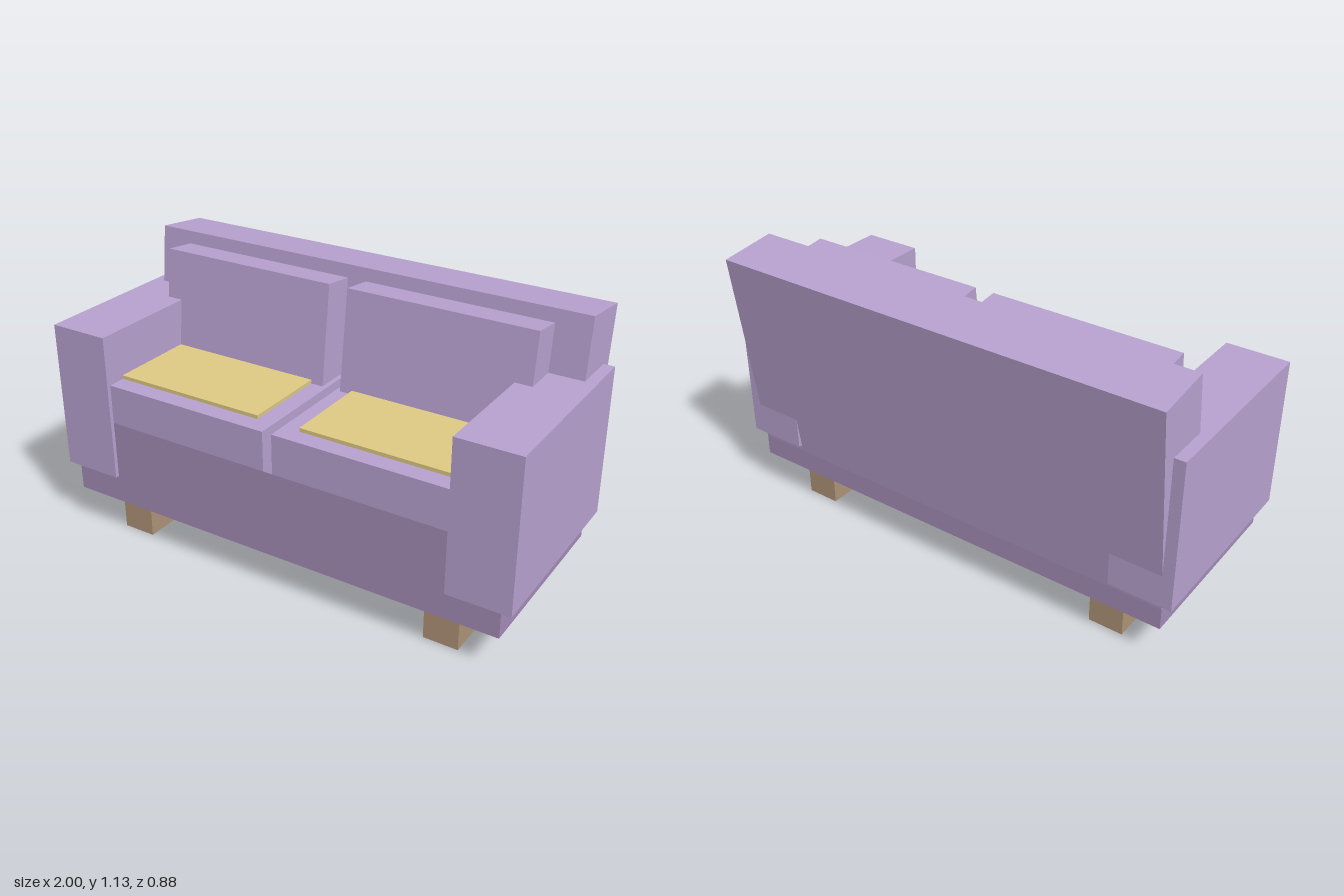
import * as THREE from 'three';

const fabric = new THREE.MeshStandardMaterial({ color: 0xb8a2d0 });
const darkFabric = new THREE.MeshStandardMaterial({ color: 0xa58db8 });
const padFabric = new THREE.MeshStandardMaterial({ color: 0xdfcb84 });
const wood = new THREE.MeshStandardMaterial({ color: 0xb09478 });

const TILT = -0.12; // backward lean of the backrest and its cushions

// Upright box given by its extents on each axis
function block(name, material, [x0, x1], [y0, y1], [z0, z1]) {
  const mesh = new THREE.Mesh(new THREE.BoxGeometry(x1 - x0, y1 - y0, z1 - z0), material);
  mesh.position.set((x0 + x1) / 2, (y0 + y1) / 2, (z0 + z1) / 2);
  mesh.name = name;
  return mesh;
}

// Leaning box hung from its top front edge
function leaningBlock(name, material, width, height, depth, x, y, z) {
  const geometry = new THREE.BoxGeometry(width, height, depth).translate(0, -height / 2, -depth / 2);
  const mesh = new THREE.Mesh(geometry, material);
  mesh.position.set(x, y, z);
  mesh.rotation.x = TILT;
  mesh.name = name;
  return mesh;
}

export function createModel() {
  const sofa = new THREE.Group();
  sofa.name = 'sofa';

  // Base and backrest
  sofa.add(block('base', darkFabric, [-0.955, 0.955], [0.16, 0.52], [-0.337, 0.424]));
  sofa.add(leaningBlock('backrest', fabric, 1.91, 0.86, 0.236, 0, 1.13, -0.206));

  for (const [side, s] of [['left', 1], ['right', -1]]) {
    // Extents measured outward from the middle
    const span = (inner, outer) => (s > 0 ? [inner, outer] : [-outer, -inner]);

    sofa.add(block(side + 'Arm', fabric, span(0.747, 1), [0.277, 0.892], [-0.357, 0.441]));
    sofa.add(block(side + 'SeatCushion', fabric, span(0.02, 0.8), [0.52, 0.685], [-0.25, 0.424]));
    sofa.add(block(side + 'SeatPad', padFabric, span(0.093, 0.76), [0.68, 0.7], [-0.1, 0.35]));
    sofa.add(leaningBlock(side + 'BackCushion', fabric, 0.776, 0.46, 0.17, s * 0.428, 1.094, -0.063));

    // Front and rear legs
    sofa.add(block(side + 'FrontLeg', wood, span(0.638, 0.78), [0, 0.16], [0.226, 0.37]));
    sofa.add(block(side + 'RearLeg', wood, span(0.638, 0.78), [0, 0.16], [-0.282, -0.138]));
  }
  return sofa;
}
